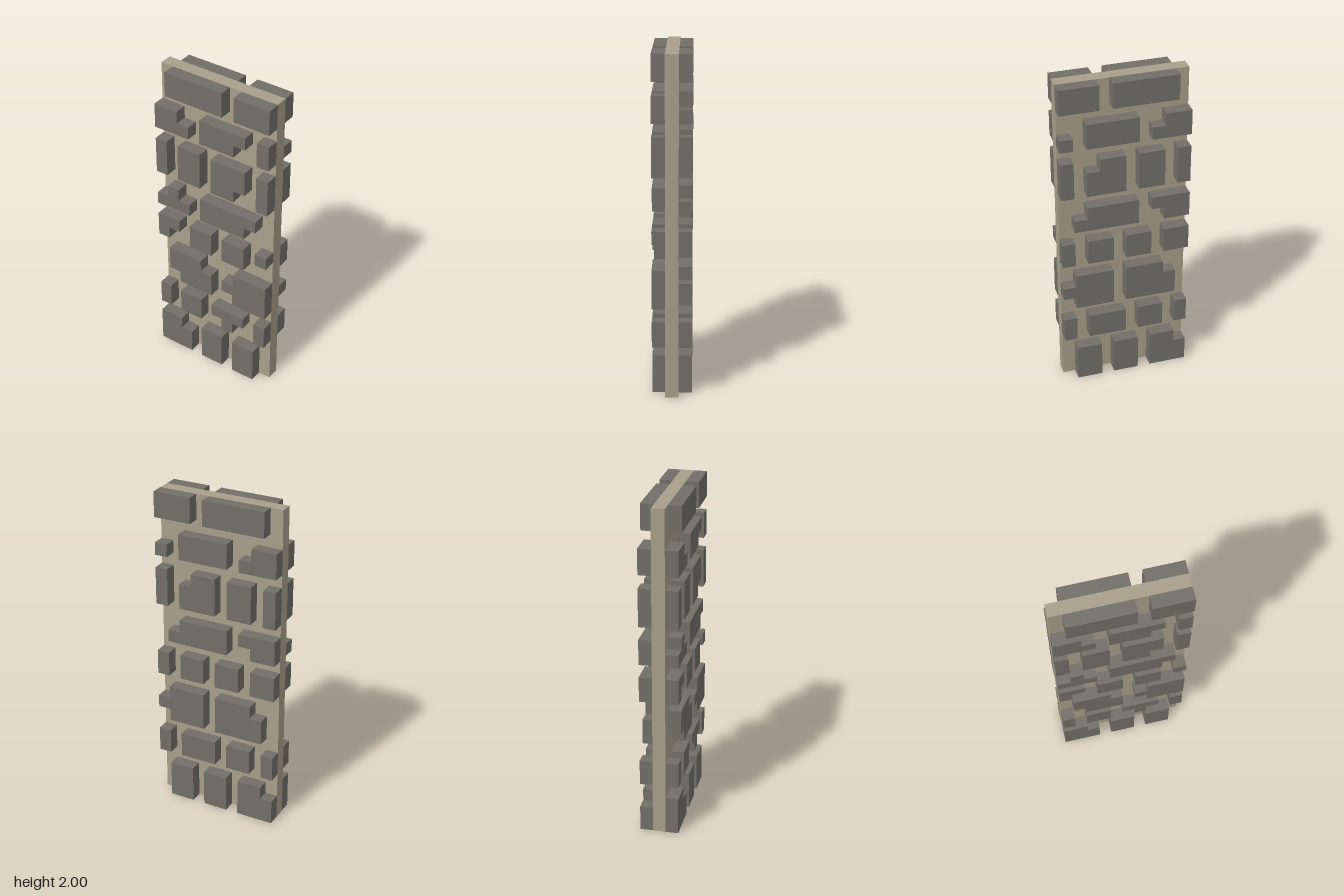
import * as THREE from 'three';

const U = 2 / 26; // one block unit: the wall is 10 wide, 26 tall, 3 deep

// Each stone: [top edge, spans...], with one [left, right] span per unit row, going down
const FRONT = [
  [26, [1, 6], [1, 6]], [26, [7, 10], [7, 10]],
  [23, [0, 2], [0, 3]], [23, [4, 8], [4, 7]], [23, [9, 10], [9, 10]],
  [20, [0, 1], [0, 1], [0, 1]], [20, [2, 4], [2, 4], [2, 4]], [20, [5, 8], [5, 8], [5, 7]], [20, [9, 10], [9, 10], [9, 10]],
  [16, [1, 2], [0, 3]], [16, [4, 9], [4, 8]],
  [13, [0, 2], [0, 1]], [13, [3, 5], [3, 5]], [13, [6, 8], [6, 8]], [13, [9, 10]],
  [10, [1, 4], [1, 5], [2, 5]], [10, [7, 10], [6, 10], [7, 10]],
  [6, [0, 1], [0, 1]], [6, [2, 4], [2, 4]], [6, [5, 8], [6, 7]], [6, [9, 10], [9, 10]],
  [3, [0, 2], [0, 3], [0, 3]], [3, [4, 6], [4, 6], [4, 6]], [3, [7, 9], [7, 9], [7, 9]],
];
const BACK = [
  [26, [1, 6], [1, 6]], [26, [7, 10], [7, 10]],
  [23, [0, 2], [0, 3]], [23, [4, 8], [4, 8]], [22, [9, 10]],
  [20, [0, 1], [0, 1], [0, 1]], [20, [2, 4], [2, 4], [2, 4]], [20, [5, 7], [5, 8], [5, 8]], [20, [9, 10], [9, 10], [9, 10]],
  [16, [0, 3], [0, 2]], [16, [4, 8], [4, 9]],
  [13, [0, 2], [0, 2]], [13, [3, 5], [3, 5]], [13, [6, 8], [6, 8]], [13, [9, 10], [9, 10]],
  [10, [2, 5], [1, 5], [1, 5]], [10, [6, 9], [6, 10], [6, 9]],
  [6, [0, 1], [0, 1]], [6, [2, 4], [2, 4]], [6, [5, 8], [5, 8]], [6, [9, 10], [9, 10]],
  [3, [1, 3], [0, 3], [0, 3]], [3, [4, 6], [4, 6], [4, 6]], [3, [7, 9], [7, 9], [7, 9]],
];

// Stepped outline of a stone: up the right side, then down the left, without collinear points
function stoneGeometry([top, ...spans]) {
  const left = [], right = [];
  spans.forEach(([a, b], i) => {
    const y = top - i;
    if (i === 0 || spans[i - 1][0] !== a) {
      if (i) left.push([spans[i - 1][0], y]);
      left.push([a, y]);
    }
    if (i === 0 || spans[i - 1][1] !== b) {
      if (i) right.push([spans[i - 1][1], y]);
      right.push([b, y]);
    }
  });
  const last = spans[spans.length - 1];
  left.push([last[0], top - spans.length]);
  right.push([last[1], top - spans.length]);
  const points = [...left, ...right.reverse()].map(([x, y]) => new THREE.Vector2((x - 5) * U, y * U));
  return new THREE.ExtrudeGeometry(new THREE.Shape(points), { depth: U, bevelEnabled: false });
}

export function createModel() {
  const model = new THREE.Group();
  model.name = 'stoneWall';

  const mortar = new THREE.MeshStandardMaterial({ color: 0xa89f8b });
  mortar.name = 'mortar';
  const stone = new THREE.MeshStandardMaterial({ color: 0x726f67 });
  stone.name = 'stone';

  // Mortar core slab
  const core = new THREE.Mesh(new THREE.BoxGeometry(10 * U, 26 * U, U), mortar);
  core.name = 'mortarCore';
  core.position.y = 13 * U;
  model.add(core);

  // Raised stones on both faces
  for (const [name, stones, z] of [['frontStone', FRONT, 0.5 * U], ['backStone', BACK, -1.5 * U]]) {
    const side = new THREE.Group();
    side.name = name + 's';
    side.position.z = z;
    for (const s of stones) {
      const mesh = new THREE.Mesh(stoneGeometry(s), stone);
      mesh.name = name;
      side.add(mesh);
    }
    model.add(side);
  }
  return model;
}
